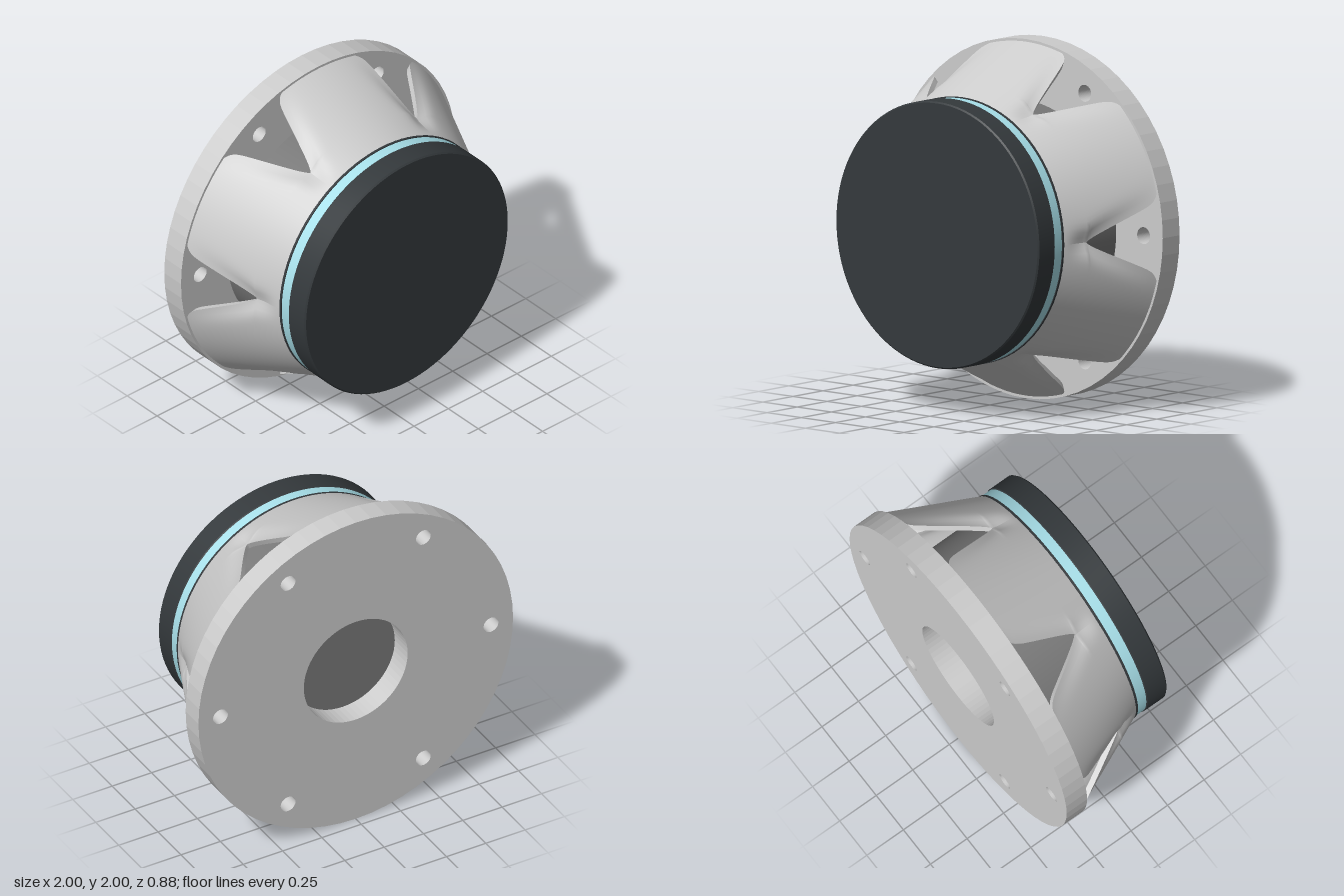
import * as THREE from 'three';
import { toCreasedNormals } from 'three/addons/utils/BufferGeometryUtils.js';

const rad = THREE.MathUtils.degToRad;
const material = (color, extra = {}) => new THREE.MeshStandardMaterial({ color, ...extra });

function part(name, geometry, mat) {
  const mesh = new THREE.Mesh(geometry, mat);
  mesh.name = name;
  return mesh;
}

// Solid of revolution about z; points are [radius, z] from front to back
function turned(points, segments = 96) {
  const profile = points.map(([r, z]) => new THREE.Vector2(r, z)).reverse();
  const geometry = new THREE.LatheGeometry(profile, segments).rotateX(Math.PI / 2);
  return toCreasedNormals(geometry, rad(30));
}

// Round plate with a centre opening and six bolt holes
function flangeGeometry() {
  const circle = (Type, x, y, r) => new Type().absarc(x, y, r, 0, Math.PI * 2);
  const shape = circle(THREE.Shape, 0, 0, 1);
  shape.holes.push(circle(THREE.Path, 0, 0, 0.33));
  for (let k = 0; k < 6; k++) {
    const a = k * Math.PI / 3;
    shape.holes.push(circle(THREE.Path, 0.86 * Math.cos(a), 0.86 * Math.sin(a), 0.047));
  }
  return new THREE.ExtrudeGeometry(shape, { depth: 0.14, bevelEnabled: false, curveSegments: 32 });
}

// One sixth of the conical basket: full width in front, narrowing beside the windows
function petalGeometry() {
  const front = 0.23, apex = 0.08, back = -0.3, wall = 0.035, across = 28;
  const levels = [];
  for (let i = 0; i < 10; i++) levels.push(front + (apex - front) * i / 10);
  for (let i = 0; i <= 40; i++) {
    levels.push(apex + (back - apex) * THREE.MathUtils.smoothstep(i / 40, 0, 1));
  }
  const positions = [], index = [], ring = 2 * (across + 1);
  levels.forEach((z, j) => {
    const t = Math.max(0, (apex - z) / (apex - back));
    const half = 30 - 11.8 * t ** 0.75 - 2.5 * t ** 20;
    const radius = 0.74 + 0.245 * (front - z) / (front - back);
    const dip = 0.035 * THREE.MathUtils.smoothstep(front - z, 0, front - apex) * (1 - t);
    for (let i = 0; i < ring; i++) {
      const outer = i <= across;
      const u = (outer ? i : ring - 1 - i) / across * 2 - 1;
      const edge = half * (1 - Math.abs(u));
      const r = radius - dip * Math.exp(-((edge / 4.5) ** 2)) - (outer ? 0 : wall);
      const a = rad(u * half);
      positions.push(r * Math.cos(a), r * Math.sin(a), z);
      if (j < levels.length - 1) {
        const n = (i + 1) % ring, p = j * ring, q = p + ring;
        index.push(p + i, q + i, p + n, p + n, q + i, q + n);
      }
    }
  });
  const geometry = new THREE.BufferGeometry();
  geometry.setAttribute('position', new THREE.Float32BufferAttribute(positions, 3));
  geometry.setIndex(index);
  return toCreasedNormals(geometry, rad(40));
}

export function createModel() {
  const model = new THREE.Group();
  model.name = 'roundHousing';
  const body = new THREE.Group();
  body.name = 'body';
  body.position.y = 1;
  model.add(body);

  const grey = material(0xcccccc);
  const dark = material(0x34393c);

  // Mounting flange at the back
  const flange = part('flange', flangeGeometry(), material(0xcccccc, { flatShading: true }));
  flange.position.z = -0.44;
  body.add(flange);

  // Six-part basket; the windows line up with the bolt holes
  const basket = new THREE.Group();
  basket.name = 'basket';
  const petal = petalGeometry();
  for (let k = 0; k < 6; k++) {
    const mesh = part('basketPetal', petal, grey);
    mesh.rotation.z = rad(30 + 60 * k);
    basket.add(mesh);
  }
  body.add(basket);

  // Core inside the basket
  body.add(part('core', turned([[0, 0.23], [0.66, 0.23], [0.66, -0.3], [0, -0.3]]), material(0x777777)));

  // Thin gasket, coloured ring and front cover
  body.add(part('gasket', turned([[0, 0.24], [0.742, 0.24], [0.742, 0.225], [0, 0.225]]), dark));
  body.add(part('accentRing', turned([[0, 0.3], [0.737, 0.3], [0.737, 0.24], [0, 0.24]]), material(0xa8e0ea)));
  body.add(part('frontCover', turned([
    [0, 0.44], [0.734, 0.44], [0.742, 0.432], [0.742, 0.305], [0.737, 0.3], [0, 0.3],
  ]), dark));

  return model;
}
